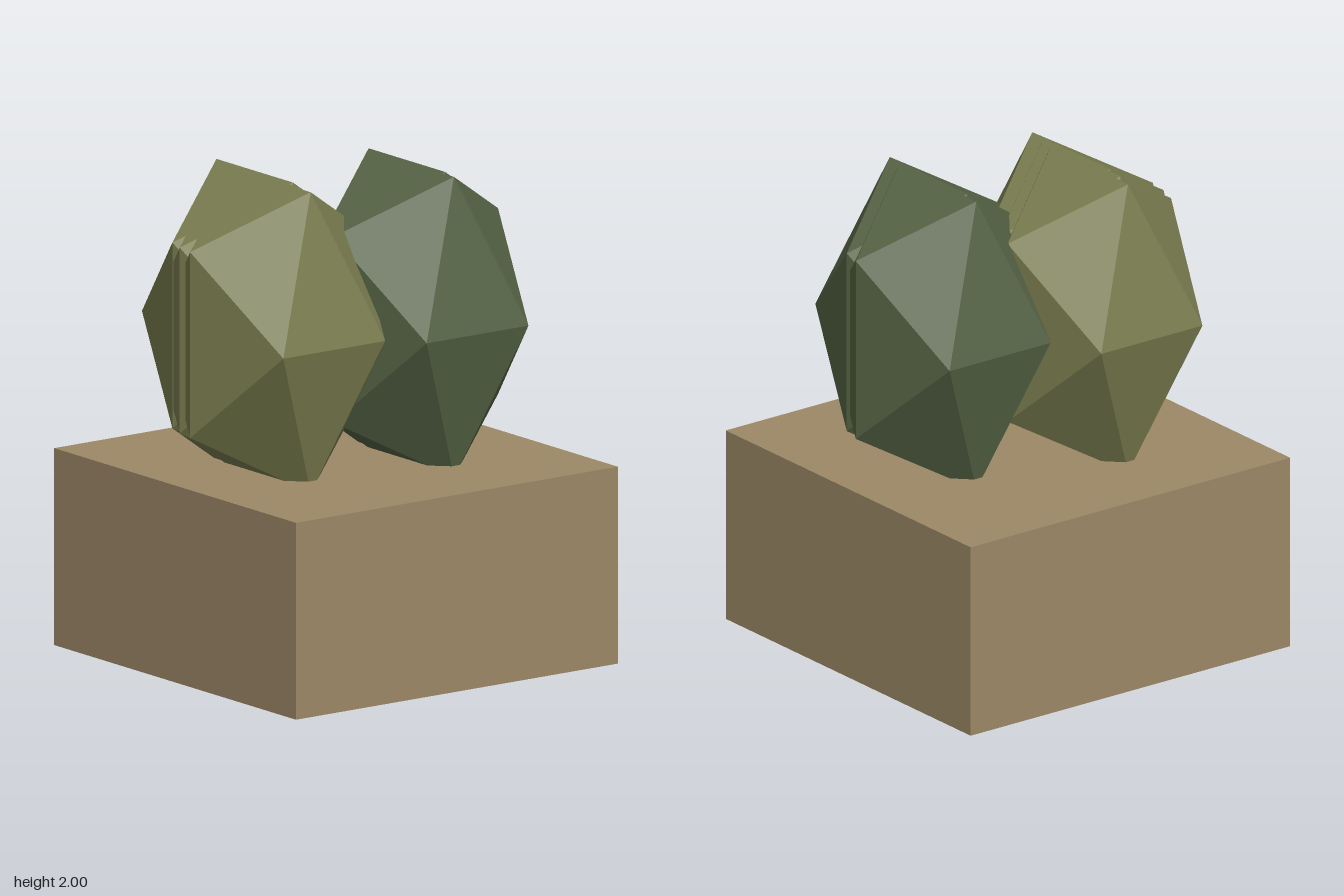
import * as THREE from 'three';

const material = (color) => new THREE.MeshStandardMaterial({ color, flatShading: true });

// A bush is a cluster of overlapping, upright-stretched icosahedra
function createBush(name, color, centres) {
  const bush = new THREE.Group();
  bush.name = name;
  const mat = material(color);
  const lobe = new THREE.IcosahedronGeometry(0.729, 0).scale(0.666, 1, 0.666);
  centres.forEach(([x, z], i) => {
    const mesh = new THREE.Mesh(lobe, mat);
    mesh.name = `${name}Lobe${i + 1}`;
    mesh.position.set(x, 1.38, z);
    bush.add(mesh);
  });
  return bush;
}

export function createModel() {
  const model = new THREE.Group();
  model.name = 'planter';

  // Square block the bushes are sunk into
  const base = new THREE.Mesh(new THREE.BoxGeometry(1.615, 0.812, 1.615), material(0x9c8866));
  base.name = 'base';
  base.position.y = 0.406;
  model.add(base);

  model.add(
    createBush('frontBush', 0x7a7d4f, [[0, 0.319], [-0.088, 0.305], [-0.177, 0.275]]),
    createBush('backBush', 0x566445, [[0.043, -0.323], [0.133, -0.3]]),
  );
  return model;
}
